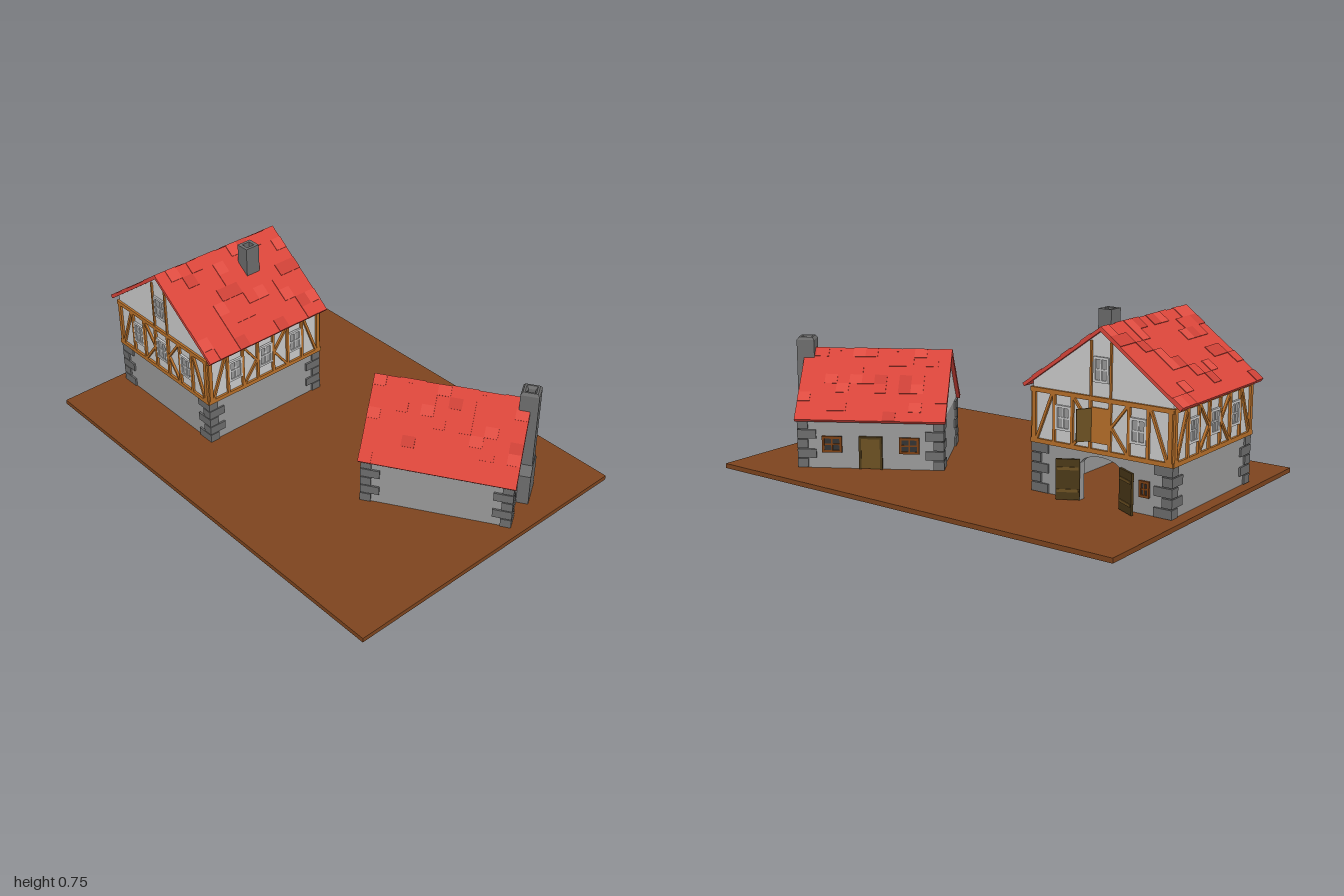
import * as THREE from 'three';

const mat = (color) => new THREE.MeshStandardMaterial({ color });
const GROUND = mat(0x7d441e), PLASTER = mat(0xcccccc), STONE = mat(0x999999), QUOIN = mat(0x6c6c6c);
const TIMBER = mat(0xb8702a), DOOR = mat(0x6b5022), DARKWOOD = mat(0x4a3818), FRAME = mat(0x7a3f14), DARK = mat(0x333333);
const REDS = [0xd8453a, 0xcb4036, 0xde4c41].map(mat);

let seed = 7;
const rnd = () => (seed = (seed * 16807) % 2147483647) / 2147483647;

function group(name, parent) {
  const g = new THREE.Group();
  g.name = name;
  if (parent) parent.add(g);
  return g;
}

function add(parent, name, geometry, material, x = 0, y = 0, z = 0) {
  const m = new THREE.Mesh(geometry, material);
  m.name = name;
  m.position.set(x, y, z);
  parent.add(m);
  return m;
}

const box = (parent, name, w, h, d, material, x, y, z) =>
  add(parent, name, new THREE.BoxGeometry(w, h, d), material, x, y, z);

const polygon = (pts) => new THREE.Shape(pts.map(([x, y]) => new THREE.Vector2(x, y)));
const rect = (w, d) => polygon([[-w, -d], [w, -d], [w, d], [-w, d]]);
const extrude = (shape, depth, opts = {}) =>
  new THREE.ExtrudeGeometry(shape, { depth, bevelEnabled: false, curveSegments: 8, ...opts });

// Straight timber between two points of a wall face
function beam(parent, name, x1, y1, x2, y2, w = 0.014) {
  const m = box(parent, name, Math.hypot(x2 - x1, y2 - y1), w, 0.014, TIMBER, (x1 + x2) / 2, (y1 + y2) / 2, 0);
  m.rotation.z = Math.atan2(y2 - y1, x2 - x1);
}

// Framed window with glazing bars, facing +z
function addWindow(parent, x, y, z, w, h, frame, pane) {
  const g = group('window', parent);
  g.position.set(x, y, z);
  const b = 0.01;
  box(g, 'pane', w, h, 0.004, pane, 0, 0, 0);
  for (const s of [-1, 1]) {
    box(g, 'jamb', b, h, 0.014, frame, s * (w - b) / 2, 0, 0);
    box(g, 'rail', w, b, 0.014, frame, 0, s * (h - b) / 2, 0);
  }
  box(g, 'mullion', 0.006, h, 0.01, frame, 0, 0, 0);
  box(g, 'glazingBar', w, 0.006, 0.01, frame, 0, 0, 0);
  return g;
}

// Alternating corner stones
function addQuoins(parent, hx, hz, y0, y1) {
  const g = group('cornerStones', parent), n = 5, h = (y1 - y0) / n, p = 0.008;
  for (const sx of [-1, 1]) for (const sz of [-1, 1]) for (let i = 0; i < n; i++) {
    const a = i % 2 ? 0.045 : 0.08, b = i % 2 ? 0.08 : 0.045;
    box(g, 'cornerStone', a, h * 0.9, b, QUOIN, sx * (hx + p - a / 2), y0 + h * (i + 0.5), sz * (hz + p - b / 2));
  }
}

// Gable roof with its ridge along z and scattered raised tiles
function addRoof(parent, run, eave, ridge, depth, t) {
  const g = group('roof', parent);
  const len = Math.hypot(run, ridge - eave), angle = Math.atan2(ridge - eave, run);
  for (const s of [-1, 1]) {
    const slope = group('roofSlope', g);
    slope.position.set(s * run / 2, (eave + ridge) / 2, 0);
    slope.rotation.z = -s * angle;
    box(slope, 'roofSlab', len, t, depth, REDS[0], 0, -t / 2, 0);
    const rows = 8, cols = 12, rw = len / rows, cw = depth / cols;
    for (let r = 0; r < rows; r++) for (let c = 0; c < cols; c++) {
      if (rnd() > 0.3) continue;
      box(slope, 'tile', rw, 0.005, cw, REDS[Math.floor(rnd() * 3)],
        (r + 0.5) * rw - len / 2, 0.0005, (c + 0.5) * cw - depth / 2);
    }
  }
}

// Triangular wall top that follows the underside of the roof
function addGable(parent, hx, hz, y0, ridge, pitch, t) {
  const top = ridge - t * Math.hypot(1, pitch), side = top - hx * pitch;
  add(parent, 'gable', extrude(polygon([[-hx, y0], [hx, y0], [hx, side], [0, top], [-hx, side]]), 2 * hz), PLASTER, 0, 0, -hz);
}

// Hollow square shaft
function addShaft(parent, hw, hd, y0, y1, x, z, opts) {
  const shape = rect(hw, hd), inner = rect(hw * 0.55, hd * 0.55);
  shape.holes.push(new THREE.Path(inner.getPoints().reverse()));
  const m = add(parent, 'chimneyShaft', extrude(shape, y1 - y0, opts), QUOIN, x, y0, z);
  m.rotation.x = -Math.PI / 2;
  box(parent, 'flueBottom', hw * 1.2, 0.01, hd * 1.2, DARK, x, y1 - 0.04, z);
}

// One half-timbered face, centred, facing +z; the hatch replaces the middle window
function timberFace(parent, hw, y0, y1, hatch) {
  const g = group('timberFrame', parent), k = hw / 0.32, m = (y0 + y1) / 2;
  beam(g, 'sillBeam', -hw - 0.007, y0 + 0.008, hw + 0.007, y0 + 0.008, 0.018);
  beam(g, 'topBeam', -hw - 0.007, y1 - 0.008, hw + 0.007, y1 - 0.008, 0.018);
  for (const s of [-1, 1]) {
    for (const x of [0.312, 0.215, 0.13, 0.045]) beam(g, 'post', s * x * k, y0, s * x * k, y1, x > 0.3 ? 0.018 : 0.012);
    beam(g, 'outerBrace', s * 0.3 * k, y0 + 0.015, s * 0.225 * k, y1 - 0.015, 0.011);
    beam(g, 'upperBrace', s * 0.125 * k, y1 - 0.015, s * 0.05 * k, m, 0.01);
    beam(g, 'lowerBrace', s * 0.125 * k, y0 + 0.015, s * 0.05 * k, m, 0.01);
    addWindow(g, s * 0.172 * k, m + 0.005, 0, 0.072, 0.1, PLASTER, STONE);
  }
  if (hatch) {
    box(g, 'hatchOpening', 0.078, 0.14, 0.006, TIMBER, 0, m, 0.002);
    const leaf = group('openHatchLeaf', g);
    leaf.position.set(-0.04, m, 0.005);
    leaf.rotation.y = -2.2;
    box(leaf, 'hatchLeaf', 0.06, 0.13, 0.008, DOOR, 0.03, 0, 0);
  } else addWindow(g, 0, m + 0.005, 0, 0.072, 0.1, PLASTER, STONE);
  return g;
}

function timberHouse() {
  const g = group('timberHouse');
  const hx = 0.315, hz = 0.305, y0 = 0.02, y1 = 0.225, y2 = 0.448, t = 0.014, ridge = 0.722, eave = 0.458, run = 0.362;

  // Stone ground floor, with an arched gateway at the back
  for (const s of [-1, 1]) box(g, 'stoneSideWall', 0.03, y1 - y0, hz * 2, STONE, s * (hx - 0.015), (y0 + y1) / 2, 0);
  box(g, 'stoneFrontWall', hx * 2 - 0.06, y1 - y0, 0.03, STONE, 0, (y0 + y1) / 2, hz - 0.015);
  const back = new THREE.Shape();
  back.moveTo(-hx + 0.03, y0).lineTo(-0.095, y0).lineTo(-0.095, 0.17);
  back.quadraticCurveTo(-0.08, 0.205, 0, 0.21).quadraticCurveTo(0.08, 0.205, 0.095, 0.17);
  back.lineTo(0.095, y0).lineTo(hx - 0.03, y0).lineTo(hx - 0.03, y1).lineTo(-hx + 0.03, y1);
  add(g, 'stoneBackWall', extrude(back, 0.03), STONE, 0, 0, -hz);
  addQuoins(g, hx, hz, y0, y1);
  for (const s of [-1, 1]) {
    const leaf = group('gateLeaf', g);
    leaf.position.set(s * 0.092, 0, -hz - 0.004);
    leaf.rotation.y = s > 0 ? 0.5 : Math.PI - 0.5;
    box(leaf, 'gateBoards', 0.095, 0.165, 0.01, DARKWOOD, 0.048, 0.105, 0);
    for (const y of [0.06, 0.15]) box(leaf, 'gateBatten', 0.085, 0.012, 0.016, DOOR, 0.048, y, 0);
  }
  addWindow(g, -0.2, 0.12, -hz - 0.002, 0.045, 0.065, FRAME, DARK);

  // Half-timbered upper floor
  const w = 0.318, d = 0.308;
  box(g, 'upperWalls', w * 2, y2 - y1, d * 2, PLASTER, 0, (y1 + y2) / 2, 0);
  for (let i = 0; i < 4; i++) {
    const face = timberFace(g, i % 2 ? d : w, y1, y2, i === 2);
    const a = i * Math.PI / 2, r = (i % 2 ? w : d) + 0.003;
    face.position.set(Math.sin(a) * r, 0, Math.cos(a) * r);
    face.rotation.y = a;
  }

  // Gables with posts and a loft window
  const pitch = (ridge - eave) / run;
  addGable(g, w, d, y2 - 0.002, ridge, pitch, t);
  for (const s of [0, 1]) {
    const f = group('gableFrame', g);
    f.position.z = (s ? -1 : 1) * (d + 0.001);
    f.rotation.y = s * Math.PI;
    for (const x of [-0.045, 0.045]) beam(f, 'gablePost', x, y2, x, 0.665, 0.008);
    addWindow(f, 0, 0.555, 0, 0.07, 0.1, PLASTER, STONE);
  }
  addRoof(g, run, eave, ridge, 0.645, t);
  addShaft(g, 0.03, 0.034, 0.58, 0.755, 0.102, -0.1);
  return g;
}

function stoneCottage() {
  const g = group('stoneCottage');
  const hx = 0.23, hz = 0.305, y0 = 0.02, y1 = 0.23, ridge = 0.495, eave = 0.235, run = 0.256, t = 0.016;
  box(g, 'stoneWalls', hx * 2, y1 - y0, hz * 2, STONE, 0, (y0 + y1) / 2, 0);
  addQuoins(g, hx, hz, y0, y1);
  addGable(g, hx, hz, y1, ridge, (ridge - eave) / run, t);
  addRoof(g, run, eave, ridge, 0.642, t);

  // Entrance side with a door between two windows
  const f = group('entranceSide', g);
  f.position.x = hx + 0.003;
  f.rotation.y = Math.PI / 2;
  box(f, 'door', 0.08, 0.13, 0.008, DOOR, 0, 0.087, 0);
  for (const s of [-1, 1]) {
    box(f, 'doorJamb', 0.01, 0.14, 0.016, DARKWOOD, s * 0.045, 0.09, 0);
    addWindow(f, s * 0.165, 0.125, 0, 0.085, 0.07, FRAME, DARK);
  }
  box(f, 'doorLintel', 0.1, 0.01, 0.016, DARKWOOD, 0, 0.157, 0);

  // End chimney with a broad tapered foot
  const foot = polygon([[-0.07, 0.02], [0.07, 0.02], [0.07, 0.16], [0.034, 0.2], [-0.034, 0.2], [-0.07, 0.16]]);
  add(g, 'chimneyFoot', extrude(foot, 0.06), QUOIN, 0, 0, 0.295);
  addShaft(g, 0.034, 0.034, 0.17, 0.533, 0, 0.314,
    { bevelEnabled: true, bevelSize: 0.008, bevelThickness: 0.012, bevelOffset: -0.004, bevelSegments: 1 });
  return g;
}

export function createModel() {
  const model = group('twoHouses');
  const ground = box(model, 'ground', 1.968, 0.02, 1.397, GROUND, 0, 0.01, 0);
  ground.rotation.y = 0.022;

  const house = timberHouse();
  house.position.set(-0.617, 0, 0.1);
  house.rotation.y = 0.02;

  const cottage = stoneCottage();
  cottage.position.set(0.545, 0, -0.2);
  cottage.rotation.y = Math.PI / 2 + 0.577;

  model.add(house, cottage);
  return model;
}
